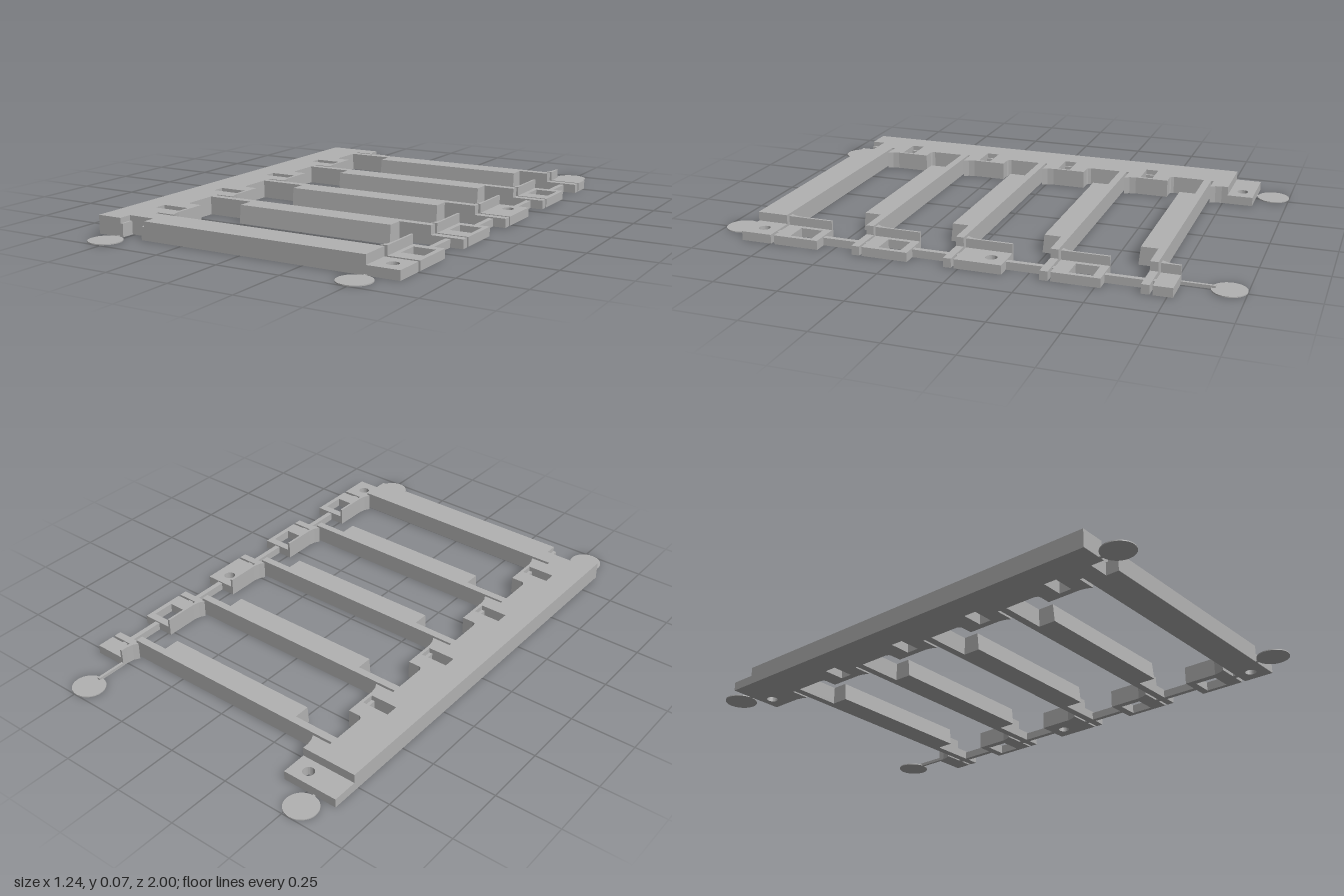
import * as THREE from 'three';

export function createModel() {
  const group = new THREE.Group();
  const grey = new THREE.MeshStandardMaterial({ color: 0xb2b2b2 });
  grey.name = 'plainGrey';
  const H = 0.07, LOW = 0.035;      // full and stepped heights
  const PITCH = 0.358;              // spacing of the ribs

  const add = (name, geo) => {
    const m = new THREE.Mesh(geo, grey);
    m.name = name;
    group.add(m);
    return m;
  };
  const box = (name, x0, x1, y0, y1, z0, z1) =>
    add(name, new THREE.BoxGeometry(x1 - x0, y1 - y0, z1 - z0)
      .translate((x0 + x1) / 2, (y0 + y1) / 2, (z0 + z1) / 2));
  const toPath = (pts, P = THREE.Path) => new P(pts.map(([x, z]) => new THREE.Vector2(x, z)));
  const rectHole = (x0, x1, z0, z1) => toPath([[x0, z0], [x1, z0], [x1, z1], [x0, z1]]);
  const roundHole = (x, z) => new THREE.Path().absarc(x, z, 0.022, 0, Math.PI * 2);
  // Plan outline in x and z, raised from y0 to y1
  const slab = (name, pts, holes, y0, y1) => {
    const s = toPath(pts, THREE.Shape);
    s.holes.push(...holes);
    return add(name, new THREE.ExtrudeGeometry(s, { depth: y1 - y0, bevelEnabled: false, curveSegments: 12 })
      .rotateX(Math.PI / 2).translate(0, y1, 0));
  };

  // Spine with side tabs and front beam, in three layers
  const spineLayer = (name, zBack, xEnd, w0, w1, y0, y1) => {
    const pts = [[-0.62, zBack], [-0.40, zBack]];
    const holes = [];
    for (let i = 0; i < 5; i++) {
      const end = -0.70 + i * PITCH;
      if (i > 0) {
        const start = end - 0.178;
        pts.push([-0.46, start - 0.015], [-0.455, start - 0.004], [-0.445, start], [-0.40, start]);
        holes.push(rectHole(w0, w1, end - 0.112, end - 0.062));
      }
      pts.push([-0.40, end - 0.045], [-0.395, end - 0.02], [-0.385, end], [-0.46, end]);
    }
    pts.push([-0.46, 0.745], [xEnd, 0.745], [xEnd, 0.866],
      [w1, 0.866], [w1, 0.815], [w0, 0.815], [w0, 0.866], [-0.62, 0.866]);
    if (zBack < -0.8) holes.push(roundHole(-0.465, -0.82));
    if (xEnd > 0.5) holes.push(roundHole(0.555, 0.805));
    slab(name, pts, holes, y0, y1);
  };
  spineLayer('spineBase', -0.87, 0.615, -0.51, -0.425, 0, LOW);
  spineLayer('spineMiddle', -0.77, 0.49, -0.51, -0.425, LOW, 0.05);
  spineLayer('spineTop', -0.77, 0.49, -0.52, -0.412, 0.05, H);

  // Cross ribs with a wide middle and a low outer end
  for (let i = 0; i < 4; i++) {
    const z = -0.69 + i * PITCH;
    box('rib', -0.465, 0.49, 0, H, z, z + 0.03);
    box('ribEnd', 0.49, 0.615, 0, LOW, z, z + 0.03);
    const side = toPath([[-z - 0.03, 0], [-z - 0.03, H], [-z - 0.093, H], [-z - 0.1, 0]], THREE.Shape);
    add('ribBlock', new THREE.ExtrudeGeometry(side, { depth: 0.64, bevelEnabled: false })
      .rotateY(Math.PI / 2).translate(-0.275, 0, 0));
  }

  // Outer pads, each with a tall flared wall on its inner side
  for (let i = 0; i < 5; i++) {
    const end = -0.70 + i * PITCH;
    const start = i === 0 ? -0.77 : end - 0.178;
    const holes = [];
    if (i === 2) holes.push(roundHole(0.555, end - 0.12));
    else if (i > 0) holes.push(rectHole(0.512, 0.597, end - 0.147, end - 0.06));
    slab('pad', [[0.488, start], [0.615, start], [0.615, end], [0.488, end]], holes, 0, LOW);
    slab('padWall', [[0.485, start], [0.494, start], [0.494, end], [0.468, end],
      [0.48, end - 0.02], [0.485, end - 0.045]], [], 0, H);
    // Thin link bridging to the neighbouring parts
    box('padLink', 0.545, 0.565, 0, 0.03, end - 0.005, end + 0.015);
    if (i < 4) box('padLink', 0.545, 0.565, 0, 0.03, end + 0.035, end + PITCH - 0.173);
  }

  // Thin corner discs and their necks
  for (const x of [-0.53, 0.49]) for (const s of [-1, 1]) {
    add('cornerDisc', new THREE.CylinderGeometry(0.063, 0.063, 0.004, 32).translate(x, 0.002, s * 0.937));
    const inner = x > 0 && s < 0 ? 0.765 : 0.86;
    const zs = [s * inner, s * 0.89].sort((a, b) => a - b);
    box('discNeck', x - 0.006, x + 0.005, 0, inner < 0.8 ? 0.012 : 0.004, zs[0], zs[1]);
  }
  return group;
}
